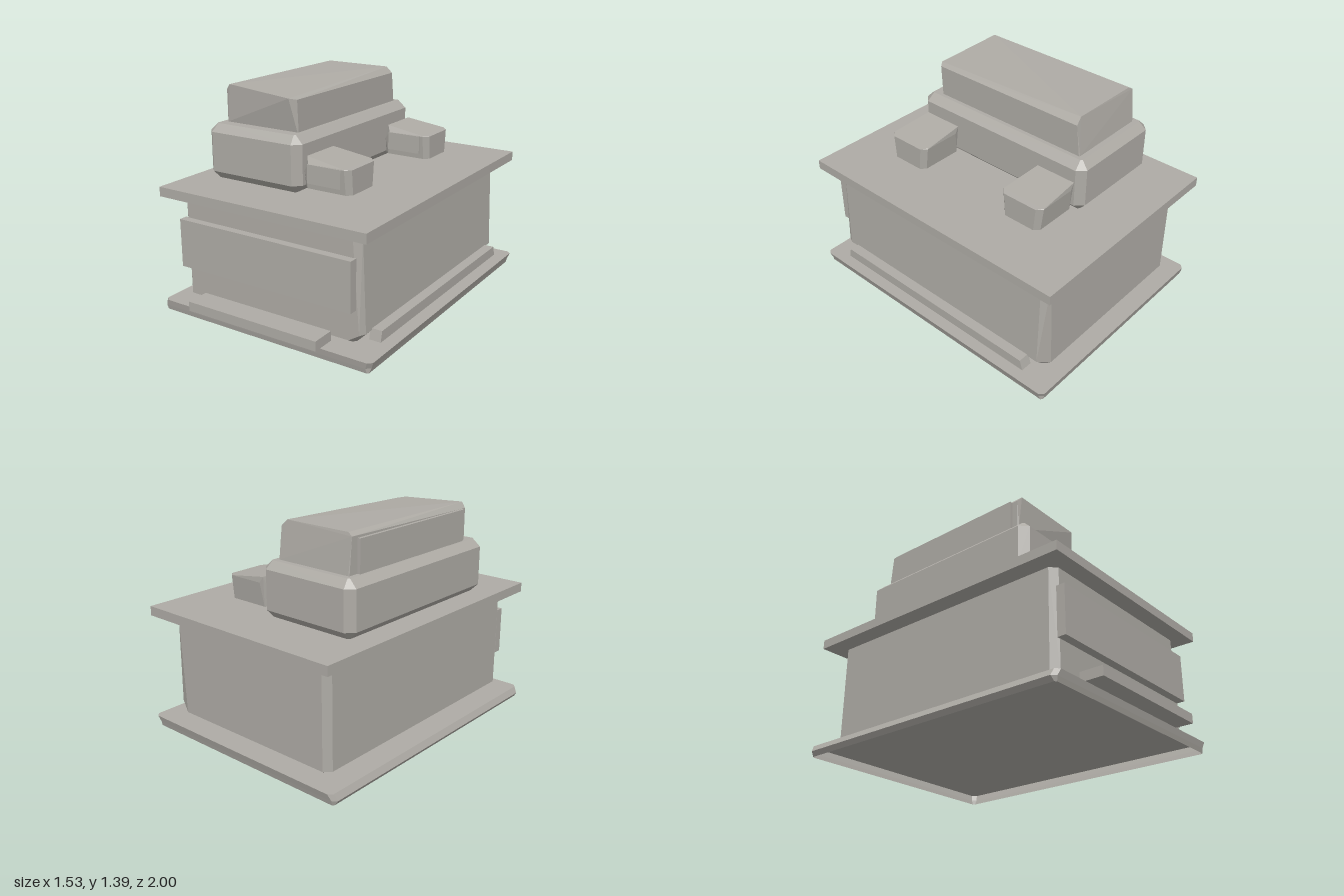
import * as THREE from 'three';
import { ConvexGeometry } from 'three/addons/geometries/ConvexGeometry.js';

export function createModel() {
  const root = new THREE.Group();
  const grey = new THREE.MeshStandardMaterial({ color: 0xaeaba5, side: THREE.DoubleSide });
  grey.name = 'stone grey';

  function add(name, geometry) {
    const mesh = new THREE.Mesh(geometry, grey);
    mesh.name = name;
    root.add(mesh);
    return mesh;
  }

  // plain box given by its limits
  function box(name, x0, x1, y0, y1, z0, z1) {
    const g = new THREE.BoxGeometry(x1 - x0, y1 - y0, z1 - z0);
    g.translate((x0 + x1) / 2, (y0 + y1) / 2, (z0 + z1) / 2);
    return add(name, g);
  }

  // horizontal rectangle with cut corners, anticlockwise from above
  function ring([y, x0, x1, z0, z1, c]) {
    return [
      [x1 - c, z1], [x1, z1 - c], [x1, z0 + c], [x1 - c, z0],
      [x0 + c, z0], [x0, z0 + c], [x0, z1 - c], [x0 + c, z1],
    ].map(([x, z]) => new THREE.Vector3(x, y, z));
  }

  // closed solid through horizontal layers [y, x0, x1, z0, z1, corner cut]
  function solid(name, layers, extra = []) {
    const pts = extra.map((p) => new THREE.Vector3(...p));
    return add(name, new ConvexGeometry(pts.concat(layers.flatMap(ring))));
  }

  // shell through the same kind of layers, with a lid but open underneath
  function openShell(name, layers) {
    const rings = layers.map(ring);
    const tris = [];
    for (let k = 0; k + 1 < rings.length; k++) {
      for (let i = 0; i < 8; i++) {
        const j = (i + 1) % 8;
        const [a, b, c, d] = [rings[k][i], rings[k][j], rings[k + 1][j], rings[k + 1][i]];
        tris.push(a, b, c, a, c, d);
      }
    }
    const lid = rings[rings.length - 1];
    for (let i = 1; i < 7; i++) tris.push(lid[0], lid[i], lid[i + 1]);
    const g = new THREE.BufferGeometry().setFromPoints(tris);
    g.computeVertexNormals();
    return add(name, g);
  }

  // base tray with undercut edges, hollow below
  openShell('baseTray', [
    [0, -0.745, 0.74, -0.98, 0.905, 0.01],
    [0.03, -0.765, 0.75, -0.988, 0.912, 0.025],
    [0.07, -0.745, 0.765, -1, 0.92, 0.025],
  ]);

  // main body with chamfered upright corners, leaning out at the lower right
  solid('body', [
    [0.735, -0.635, 0.63, -0.9, 0.83, 0.04],
    [0.115, -0.635, 0.6, -0.9, 0.825, 0.04],
    [0.1, -0.6, 0.59, -0.88, 0.8, 0.02],
  ], [[0.65, 0.16, 0.785], [0.65, 0.16, -0.86], [0.63, 0.16, 0.825]]);

  // front panel, front step and side rail
  box('frontPanel', -0.615, 0.61, 0.31, 0.615, 0.825, 0.88);
  box('frontStep', -0.465, 0.46, 0.095, 0.155, 0.85, 1);
  solid('sideRail', [
    [0.105, 0.64, 0.715, -0.81, 0.735, 0],
    [0.17, 0.64, 0.715, -0.79, 0.72, 0],
  ]);

  // overhanging deck
  box('deck', -0.73, 0.73, 0.75, 0.81, -1, 0.92);

  // lower housing, chamfered all round
  solid('lowerHousing', [
    [0.81, -0.565, 0.025, -0.645, 0.565, 0.01],
    [0.86, -0.615, 0.075, -0.69, 0.612, 0.048],
    [1.107, -0.615, 0.075, -0.69, 0.612, 0.048],
    [1.155, -0.565, 0.025, -0.645, 0.565, 0.01],
  ]);

  // upper housing, leaning forward, its top dropping to the front right corner
  solid('upperHousing', [[1.155, -0.535, 0, -0.61, 0.5, 0.005]], [
    [-0.535, 1.355, 0.495], [-0.505, 1.39, 0.505],
    [-0.04, 1.358, 0.535], [0, 1.35, 0.505],
    [-0.535, 1.37, -0.585], [-0.505, 1.39, -0.58],
    [-0.04, 1.39, -0.575], [0, 1.35, -0.58],
  ]);

  // thin plate on the upper housing's outer side
  box('upperSidePlate', -0.555, -0.53, 1.155, 1.355, -0.54, 0.455);

  // two small blocks beside the housing, each with a thin front plate
  for (const [name, z] of [['frontBlock', 0.425], ['rearBlock', -0.5]]) {
    solid(name, [
      [0.85, 0.075, 0.4, z - 0.135, z + 0.135, 0.03],
      [1.0, 0.09, 0.4, z - 0.153, z + 0.15, 0.033],
    ], [
      [0.075, 0.95, z - 0.12], [0.075, 0.95, z + 0.12],
      [0.095, 1.04, z - 0.15], [0.095, 1.04, z + 0.12],
      [0.365, 1.005, z - 0.15], [0.365, 1.005, z + 0.148],
    ]);
    box(name + 'Plate', 0.115, 0.345, 0.885, 1.0, z + 0.144, z + 0.153);
  }

  return root;
}
